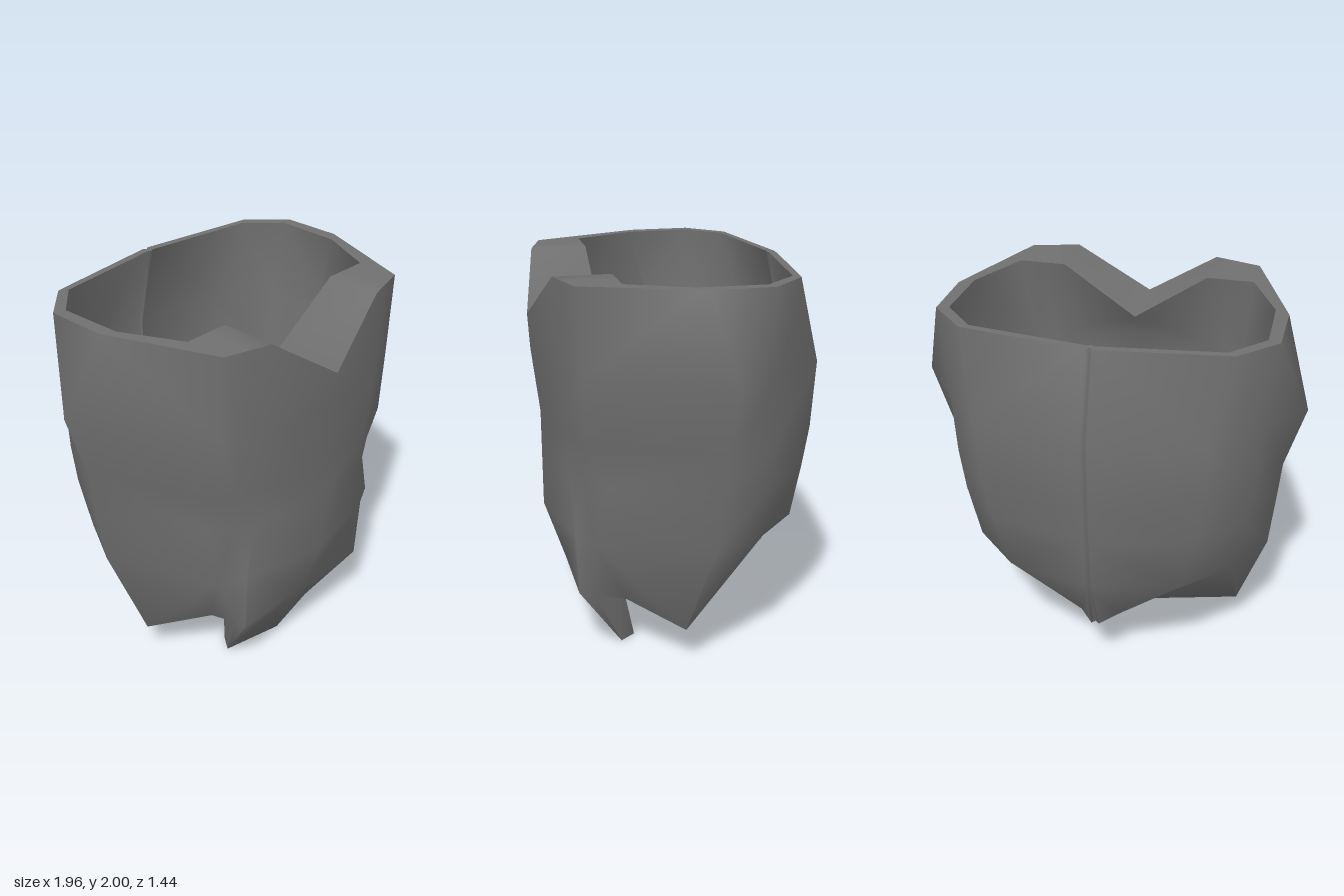
import * as THREE from 'three';
import { toCreasedNormals } from 'three/addons/utils/BufferGeometryUtils.js';

const material = new THREE.MeshStandardMaterial({ color: 0x707070, side: THREE.DoubleSide });

// Skin closed rings of [x, y, z] points into a closed wall, splitting each quad along its shorter diagonal.
function loft(rings) {
  const n = rings[0].length, m = rings.length, index = [];
  const points = rings.flat().map(p => new THREE.Vector3(...p));
  for (let j = 0; j < m; j++) {
    for (let i = 0; i < n; i++) {
      const a = j * n + i, b = j * n + (i + 1) % n;
      const c = ((j + 1) % m) * n + i, d = ((j + 1) % m) * n + (i + 1) % n;
      if (points[a].distanceTo(points[d]) < points[b].distanceTo(points[c])) index.push(a, b, d, a, d, c);
      else index.push(a, b, c, b, d, c);
    }
  }
  const geometry = new THREE.BufferGeometry().setFromPoints(points);
  geometry.setIndex(index);
  return toCreasedNormals(geometry, 1.25);
}

// Complete a half ring (back centre to front centre) with its mirror image.
const mirror = half => [...half, ...half.slice(1, -1).reverse().map(([x, y, z]) => [-x, y, z])];

// Half ring of [x, z] points at one height; a third number overrides the height.
const level = (y, pts) => pts.map(([x, z, own]) => [x, own ?? y, z]);

function createTorso() {
  // Columns: back seam, seam edge, back, rear side, side, front corner, flap seam, flap edge, front centre
  const outer = [
    level(2, [[0, -0.57], [0.015, -0.59], [0.66, -0.5], [0.84, -0.32], [0.84, 0], [0.62, 0.57], [0.5, 0.605], [0.38, 0.64], [0, 0.72, 1.74]]),
    level(1.56, [[0, -0.7], [0.015, -0.72], [0.57, -0.63], [0.79, -0.36], [0.98, -0.12], [0.62, 0.55], [0.51, 0.6], [0.4, 0.64], [0, 0.71]]),
    level(1.22, [[0, -0.69], [0.015, -0.71], [0.56, -0.61], [0.77, -0.36], [0.88, -0.1], [0.62, 0.53], [0.51, 0.57], [0.4, 0.61], [0, 0.67]]),
    level(1, [[0, -0.675], [0.015, -0.695], [0.52, -0.59], [0.74, -0.36], [0.86, -0.08], [0.6, 0.44], [0.5, 0.53], [0.42, 0.59], [0, 0.67]]),
    level(0.7, [[0, -0.65], [0.015, -0.67], [0.45, -0.56], [0.68, -0.34], [0.83, -0.06], [0.6, 0.5], [0.455, 0.57], [0.45, 0.58], [0, 0.67]]),
  ];
  const hem = level(0.37, [[0, -0.53], [0.02, -0.55], [0.1, -0.45], [0.26, -0.27], [0.67, 0.05, 0.21], [0.44, 0.31, 0.3], [0.45, 0.49, 0.36], [0.45, 0.56], [0, 0.56]]);
  const innerHem = level(0.44, [[0, -0.51], [0.035, -0.45], [0.09, -0.38], [0.2, -0.25], [0.46, 0.06, 0.3], [0.36, 0.17, 0.36], [0.36, 0.32, 0.36], [0.36, 0.35, 0.42], [0, 0.36, 0.42]]);
  const innerRim = level(2, [[0, -0.54], [0.015, -0.55], [0.62, -0.47], [0.78, -0.3], [0.77, 0.04], [0.62, 0.35], [0.5, 0.35], [0.38, 0.35], [0, 0.35, 1.74]]);

  // The front flap hangs below the hem: only the last two columns reach the ground
  const drop = (ring, edge, middle) => [...ring.slice(0, 7), edge, middle];
  const flap = drop(hem, [0.33, 0, 0.32], [0, 0, 0.39]);
  const innerFlap = drop(innerHem, [0.27, 0, 0.24], [0, 0, 0.24]);

  // Lining follows the outside, thicker towards the chest
  const lining = outer.slice(1).reverse().map(ring =>
    ring.map(([x, y, z]) => [x * 0.92, y, z * (z > 0 ? 0.75 : 0.91)]));

  const rings = [...outer, hem, flap, innerFlap, innerHem, ...lining, innerRim].map(mirror);
  const mesh = new THREE.Mesh(loft(rings), material);
  mesh.name = 'torsoShell';
  return mesh;
}

export function createModel() {
  const group = new THREE.Group();
  group.name = 'torsoArmour';
  group.add(createTorso());
  return group;
}
